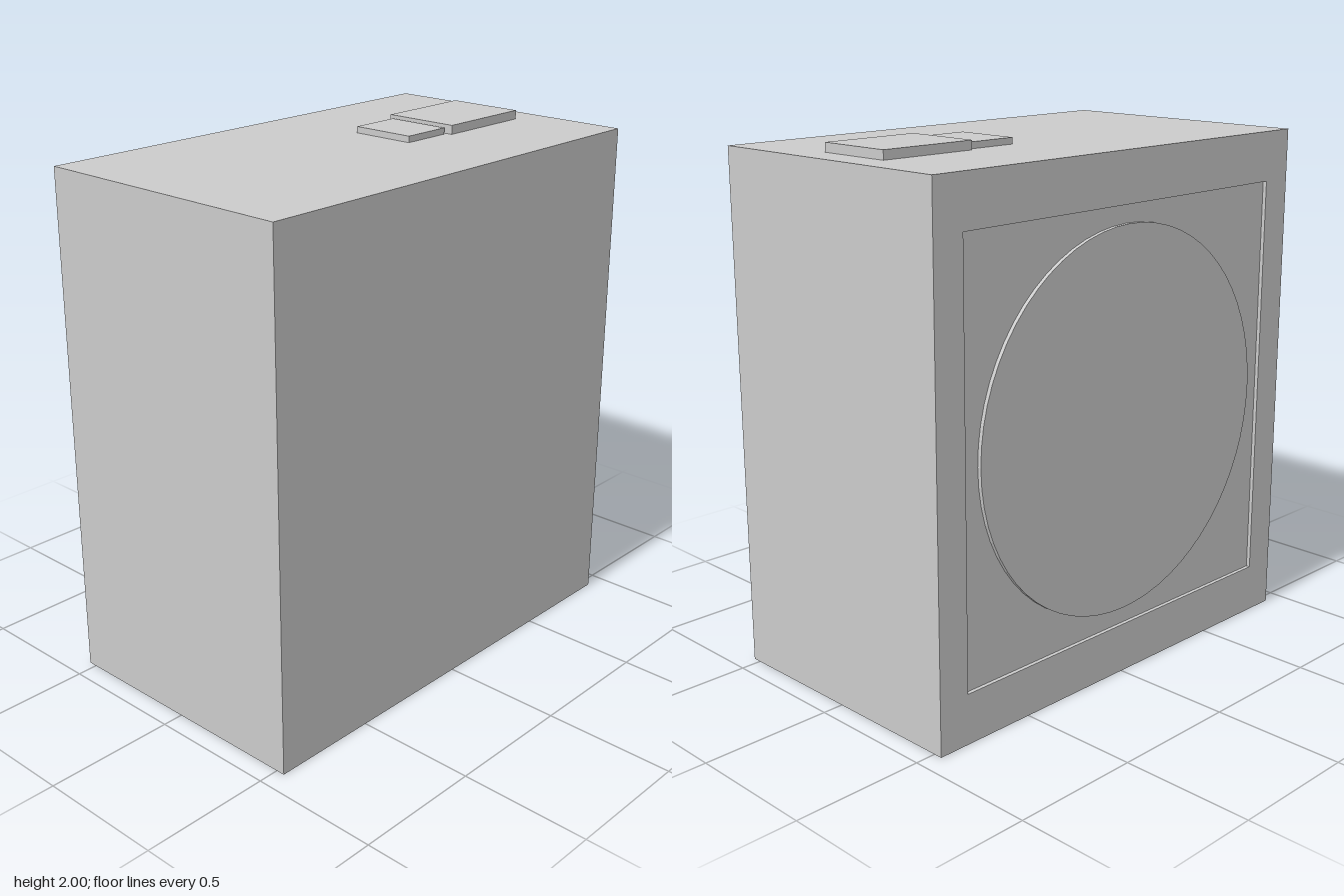
import * as THREE from 'three';

const W = 0.534, H = 1.966, D = 0.92; // half width, height, half depth
const T = 0.015; // depth of the shallow recesses

const material = new THREE.MeshStandardMaterial({ color: 0xcccccc, flatShading: true });

function rect(Type, x0, y0, x1, y1) {
  const p = new Type();
  p.moveTo(x0, y0);
  p.lineTo(x1, y0);
  p.lineTo(x1, y1);
  p.lineTo(x0, y1);
  p.closePath();
  return p;
}

// Flat plate with rectangular holes
function plate(outline, holes) {
  const shape = rect(THREE.Shape, ...outline);
  for (const h of holes) shape.holes.push(rect(THREE.Path, ...h));
  return new THREE.ExtrudeGeometry(shape, { depth: T, bevelEnabled: false });
}

// Box given by its lower and upper corners
function box(x0, y0, z0, x1, y1, z1) {
  return new THREE.BoxGeometry(x1 - x0, y1 - y0, z1 - z0)
    .translate((x0 + x1) / 2, (y0 + y1) / 2, (z0 + z1) / 2);
}

export function createModel() {
  const group = new THREE.Group();
  const add = (name, geometry) => {
    const mesh = new THREE.Mesh(geometry, material);
    mesh.name = name;
    group.add(mesh);
  };

  // Solid body
  add('body', box(-W + T, T, -D, W, H, D));

  // Side panel framing a square recess
  add('sidePanel', plate([-D, 0, D, H], [[-0.793, 0.19, 0.793, 1.776]])
    .rotateY(-Math.PI / 2).translate(-W + T, 0, 0));

  // Large disc standing in the square recess
  add('sideDisc', new THREE.CylinderGeometry(0.725, 0.725, T, 64)
    .rotateZ(Math.PI / 2).translate(-W + T / 2, 0.983, 0));

  // Base plate with two long slots
  const slots = [[0.13, 0.248], [-0.169, -0.051]].map(([a, b]) => [a, -0.457, b, 0.755]);
  add('basePlate', plate([-W + T, -D, W, D], slots)
    .rotateX(Math.PI / 2).translate(0, T, 0));

  // Raised pads on top
  add('largeTopPad', box(-0.166, H, -0.8, 0.138, 2, -0.405));
  add('smallTopPad', box(-0.142, H, -0.39, 0.114, 1.99, -0.187));

  return group;
}
